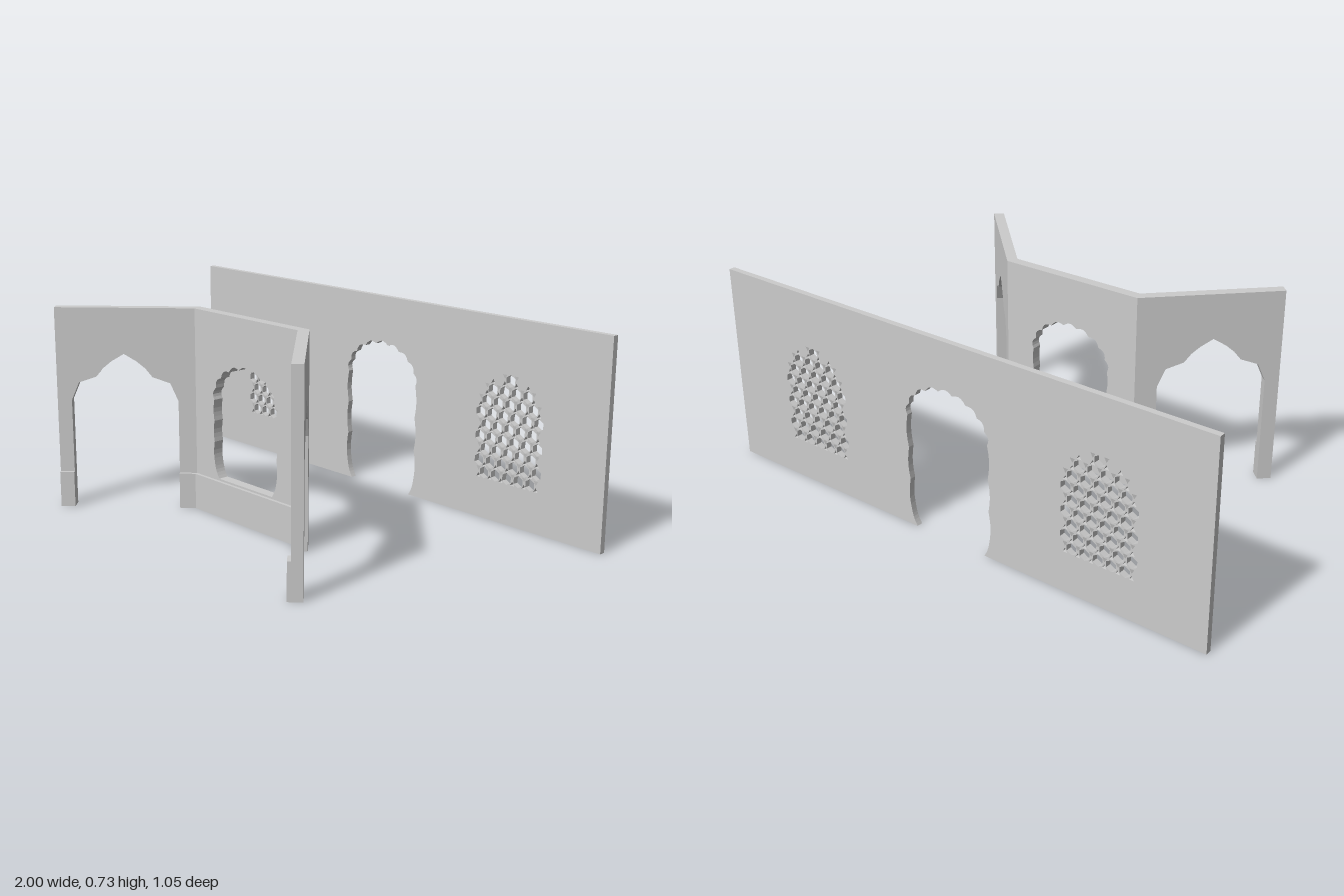
import * as THREE from 'three';

const H = 0.73;          // wall height
const T = 0.038;         // screen thickness
const MITRE = Math.tan(Math.PI / 8);
const CX = 0.28, WING = 0.511;   // half width of centre panel, wing length
const PLINTH_H = 0.13, PLINTH_D = 0.012;

const material = new THREE.MeshStandardMaterial({ color: 0xcccccc, flatShading: true });
const V = (x, y) => new THREE.Vector2(x, y);
const rect = (x0, x1, y0, y1) => [V(x0, y0), V(x1, y0), V(x1, y1), V(x0, y1)];

// Upright slab from an outline and holes, its z range, and an optional x rule for mitred ends
function slab(name, outline, holes, z0, depth, mitre) {
  const shape = new THREE.Shape(outline);
  for (const h of holes) shape.holes.push(new THREE.Path(h));
  const geo = new THREE.ExtrudeGeometry(shape, { depth, bevelEnabled: false });
  geo.translate(0, 0, z0);
  if (mitre) {
    const p = geo.attributes.position;
    for (let i = 0; i < p.count; i++) p.setX(i, mitre(p.getX(i), p.getZ(i)));
  }
  geo.computeVertexNormals();
  const mesh = new THREE.Mesh(geo, material);
  mesh.name = name;
  return mesh;
}

// Row of bulging lobes between successive cusps, bulging to the right of travel
function scallop(cusps, bulge, steps = 5) {
  const out = [];
  for (let i = 0; i < cusps.length - 1; i++) {
    const a = cusps[i], b = cusps[i + 1];
    const d = b.clone().sub(a), n = V(d.y, -d.x);
    for (let k = 0; k < steps; k++) {
      const t = k / steps;
      out.push(a.clone().addScaledVector(d, t).addScaledVector(n, bulge * Math.sin(Math.PI * t)));
    }
  }
  out.push(cusps[cusps.length - 1].clone());
  return out;
}

// Multifoil opening: narrow foot, wavy jambs and a lobed arch, listed counter-clockwise
function multifoil(bottom, w) {
  const spring = 0.42, lobes = 9;
  const jamb = [V(w - 0.03, bottom), V(w - 0.008, bottom + 0.055)];
  const lower = bottom + 0.055;
  for (let i = 1; i <= 3; i++) jamb.push(V(w - 0.008, lower + (spring - lower) * i / 3));
  const arch = [];
  for (let i = 0; i <= lobes; i++) {
    const a = Math.PI * i / lobes;
    arch.push(V((w - 0.008) * Math.cos(a), spring + 0.13 * Math.sin(a)));
  }
  const right = scallop(jamb, 0.06);
  const left = right.map(p => V(-p.x, p.y)).reverse();
  return [...right.slice(0, -1), ...scallop(arch, 0.24), ...left.slice(1)];
}

// Cusped pointed arch for the wings, open to the floor
function wingOutline(side) {
  const c = 0.269;
  const half = [[0.191, 0], [0.191, 0.395], [0.163, 0.46], [0.1, 0.482], [0.075, 0.513], [0.045, 0.538]];
  const pts = [V(0, 0), V(0, H), V(WING, H), V(WING, 0)];
  half.forEach(([d, y]) => pts.push(V(c + d, y)));
  pts.push(V(c, 0.565));
  half.slice().reverse().forEach(([d, y]) => pts.push(V(c - d, y)));
  return pts.map(p => V(side * p.x, p.y));
}

// Pierced lattice: hexagons with triangles between them, kept inside an arched field
function lattice(cx) {
  const holes = [], a = 0.05, row = a * Math.sqrt(3) / 2;
  const inside = (x, y) => {
    if (y < 0.145 || y > 0.535 || Math.abs(x) > 0.15) return false;
    return y < 0.43 || Math.abs(x) < 0.15 * Math.sqrt(Math.max(0, 1 - ((y - 0.43) / 0.11) ** 2)) + 0.004;
  };
  const ngon = (x, y, n, r, start) => {
    const pts = [];
    for (let k = 0; k < n; k++) {
      const t = start + 2 * Math.PI * k / n;
      pts.push(V(x + r * Math.cos(t), y + r * Math.sin(t)));
    }
    if (pts.every(p => inside(p.x, p.y))) holes.push(pts.map(p => V(p.x + cx, p.y)));
  };
  for (let j = -1; j < 11; j++) {
    for (let i = -4; i <= 4; i++) {
      const x = i * a + (j & 1 ? a / 2 : 0), y = 0.167 + j * row;
      ngon(x, y, 6, a / 2 - 0.0035, Math.PI / 2);
      ngon(x + a / 2, y + row / 3, 3, a / 2 / Math.sqrt(3) - 0.004, -Math.PI / 2);
      ngon(x, y + row * 2 / 3, 3, a / 2 / Math.sqrt(3) - 0.004, Math.PI / 2);
    }
  }
  return holes;
}

export function createModel() {
  const model = new THREE.Group();
  model.name = 'pavilionScreens';

  // Long rear wall with a lobed doorway and two lattice windows
  const door = multifoil(0, 0.178);
  const wall = [V(-1, 0), ...door.slice().reverse(), V(1, 0), V(1, H), V(-1, H)];
  model.add(slab('rearWall', wall, [...lattice(-0.603), ...lattice(0.603)], -0.53, 0.022));

  // Centre panel with a lobed window, mitred towards the wings
  const screen = new THREE.Group();
  screen.name = 'frontScreen';
  model.add(screen);
  const centre = new THREE.Group();
  centre.name = 'centreBay';
  centre.position.z = 0.128;
  const centreMitre = (x, z) => Math.abs(x) > CX - 1e-4 ? x - Math.sign(x) * MITRE * z : x;
  centre.add(slab('centrePanel', rect(-CX, CX, 0, H), [multifoil(0.137, 0.17)], 0, T, centreMitre));
  centre.add(slab('centrePlinth', rect(-CX, CX, 0, PLINTH_H), [], T, PLINTH_D, centreMitre));
  screen.add(centre);

  // Wings at 45 degrees with pointed archways and plinths on their piers
  for (const side of [-1, 1]) {
    const wing = new THREE.Group();
    wing.name = side > 0 ? 'leftWing' : 'rightWing';
    wing.position.set(side * CX, 0, 0.128);
    wing.rotation.y = -side * Math.PI / 4;
    const mitre = (x, z) => Math.abs(x) < 1e-4 ? side * MITRE * z : x;
    wing.add(slab('wingArch', wingOutline(side), [], 0, T, mitre));
    wing.add(slab('innerPierPlinth', rect(0, side * 0.078, 0, PLINTH_H), [], T, PLINTH_D, mitre));
    wing.add(slab('outerPierPlinth', rect(side * 0.46, side * WING, 0, PLINTH_H), [], T, PLINTH_D, mitre));
    screen.add(wing);
  }
  return model;
}
